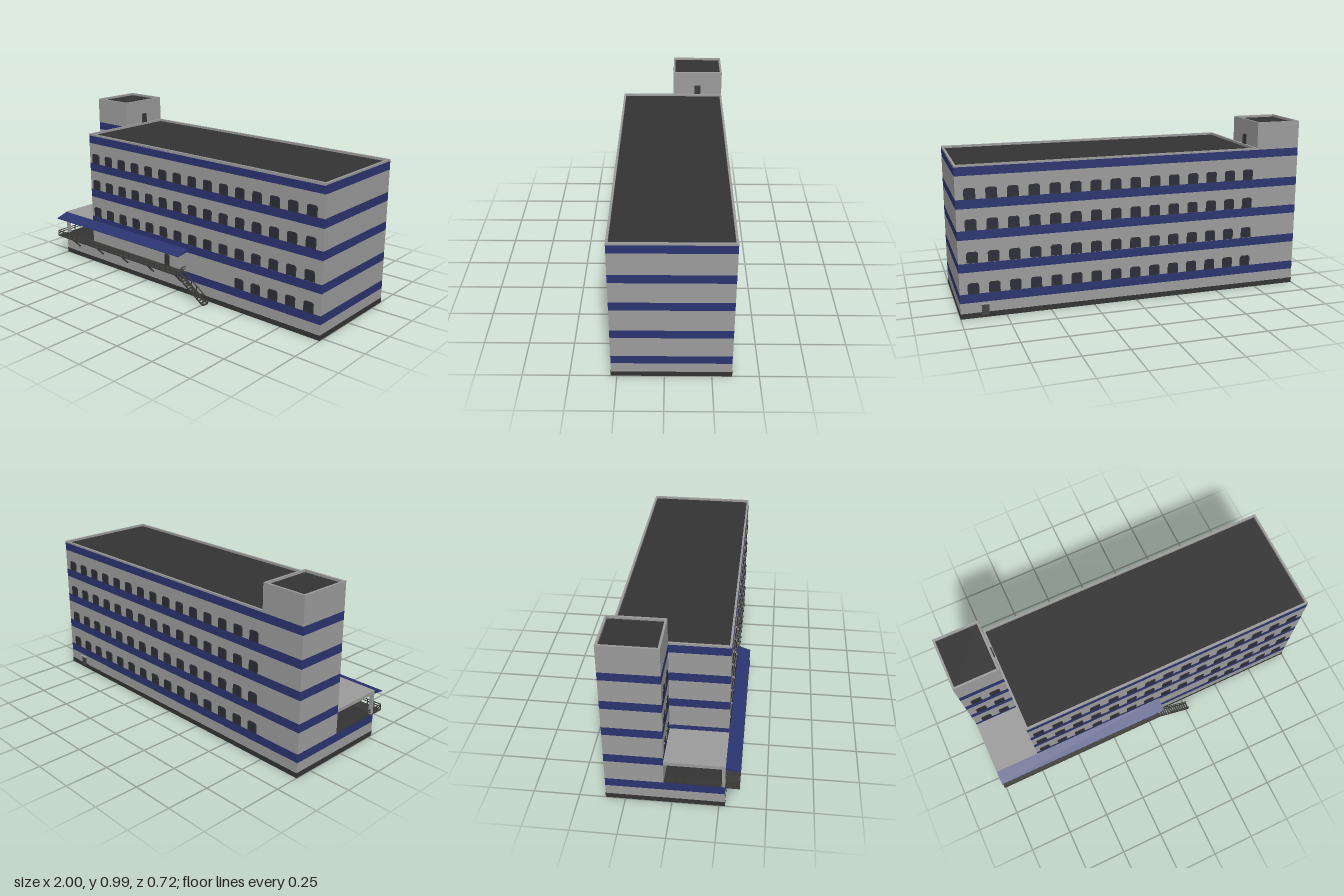
import * as THREE from 'three';

const material = (name, color, side = THREE.FrontSide) =>
  Object.assign(new THREE.MeshStandardMaterial({ color, side }), { name });

export function createModel() {
  const model = new THREE.Group();
  model.name = 'officeBuilding';

  const wallGray = material('wall gray', 0x9b9b9b, THREE.DoubleSide);
  const bandBlue = material('band blue', 0x2b3470, THREE.DoubleSide);
  const roofDark = material('roof dark', 0x333333, THREE.DoubleSide);
  const glass = material('window glass', 0x2c2c38);
  const steel = material('railing steel', 0x3a3a38);
  const doorGray = material('door gray', 0x454545);

  const add = (name, geometry, mat, parent = model) => {
    const mesh = new THREE.Mesh(geometry, mat);
    mesh.name = name;
    parent.add(mesh);
    return mesh;
  };
  const group = (name) => {
    const g = new THREE.Group();
    g.name = name;
    model.add(g);
    return g;
  };
  // Box given by its limits on each axis
  const box = (name, x0, x1, y0, y1, z0, z1, mat, parent) => {
    const mesh = add(name, new THREE.BoxGeometry(x1 - x0, y1 - y0, z1 - z0), mat, parent);
    mesh.position.set((x0 + x1) / 2, (y0 + y1) / 2, (z0 + z1) / 2);
    return mesh;
  };
  // Square bar between two points
  const bar = (name, a, b, t, mat, parent) => {
    const p = new THREE.Vector3(...a), q = new THREE.Vector3(...b);
    const mesh = add(name, new THREE.BoxGeometry(t, t, p.distanceTo(q)), mat, parent);
    mesh.position.copy(p).add(q).multiplyScalar(0.5);
    mesh.lookAt(q);
    return mesh;
  };
  // Open ring of upright walls around a footprint of [x, z] corners
  const walls = (name, outline, y0, y1, mat) => {
    const pos = [];
    outline.forEach(([ax, az], i) => {
      const [bx, bz] = outline[(i + 1) % outline.length];
      pos.push(ax, y0, az, bx, y0, bz, bx, y1, bz, ax, y0, az, bx, y1, bz, ax, y1, az);
    });
    const g = new THREE.BufferGeometry();
    g.setAttribute('position', new THREE.Float32BufferAttribute(pos, 3));
    g.computeVertexNormals();
    return add(name, g, mat);
  };
  const rect = (x0, x1, z0, z1) => [[x0, z1], [x1, z1], [x1, z0], [x0, z0]];

  const F = 0.28, B = -0.355, TX = -0.735, TZ = -0.043, TOP = 0.845;
  const full = rect(-1, 1, B, F);
  const upper = [[TX, F], [1, F], [1, B], [-1, B], [-1, TZ], [TX, TZ]];

  // Plinth and striped walls
  walls('plinth', rect(-1.0, 1.0, B - 0.002, F + 0.002), 0, 0.03, roofDark);
  walls('baseWall', full, 0.03, 0.088, wallGray);
  walls('baseBand', full, 0.088, 0.138, bandBlue);
  const bands = [[0.26, 0.31], [0.44, 0.49], [0.61, 0.66], [0.787, 0.834]];
  let y = 0.138;
  for (const [lo, hi] of bands) {
    walls('storeyWall', upper, y, lo, wallGray);
    walls('storeyBand', upper, lo, hi, bandBlue);
    y = hi;
  }
  walls('topWall', upper, y, TOP, wallGray);
  walls('towerTop', rect(-1, TX, B, TZ), TOP, 0.99, wallGray);

  // Recessed roofs inside a parapet rim
  const roof = (name, x0, x1, z0, z1, top) => {
    const t = 0.012;
    box(name, x0 + t, x1 - t, top - 0.016, top - 0.013, z0 + t, z1 - t, roofDark);
    const rim = group(name + 'Parapet');
    box('rimFront', x0, x1, top - 0.015, top, z1 - t, z1, wallGray, rim);
    box('rimBack', x0, x1, top - 0.015, top, z0, z0 + t, wallGray, rim);
    box('rimLeft', x1 - t, x1, top - 0.015, top, z0 + t, z1 - t, wallGray, rim);
    box('rimRight', x0, x0 + t, top - 0.015, top, z0 + t, z1 - t, wallGray, rim);
  };
  roof('mainRoof', TX, 1, B, F, TOP);
  roof('towerRoof', -1, TX, B, TZ, 0.992);

  // Windows with clipped upper corners, visible from both sides of the wall
  const pane = (w, h, c, depth) => {
    const s = new THREE.Shape();
    s.moveTo(-w / 2, 0);
    s.lineTo(w / 2, 0);
    s.lineTo(w / 2, h - c);
    s.lineTo(w / 2 - c, h);
    s.lineTo(-w / 2 + c, h);
    s.lineTo(-w / 2, h - c);
    return new THREE.ExtrudeGeometry(s, { depth, bevelEnabled: false }).translate(0, 0, -depth / 2);
  };
  const frameGeo = pane(0.062, 0.062, 0.009, 0.006);
  const glassGeo = pane(0.052, 0.054, 0.007, 0.009).translate(0, 0.004, 0);
  const windows = group('windows');
  const windowAt = (x, y0, z) => {
    add('windowFrame', frameGeo, roofDark, windows).position.set(x, y0, z);
    add('windowGlass', glassGeo, glass, windows).position.set(x, y0, z);
  };
  [0.138, 0.312, 0.491, 0.659].forEach((y0, floor) => {
    for (let i = 0; i < 15; i++) {
      const x = 0.925 - i * 0.1147;
      if (floor > 0 || i < 5) windowAt(x, y0, F);
      windowAt(x, y0, B);
    }
    if (floor > 0) [-0.925, -0.812].forEach((x) => windowAt(x, y0, TZ));
  });

  // Doors
  const doorGeo = pane(0.04, 0.072, 0.008, 0.008);
  const door = (name, x, y0, z, mat, turn = 0) => {
    const d = add(name, doorGeo, mat, model);
    d.position.set(x, y0, z);
    d.rotation.y = turn;
    return d;
  };
  door('frontDoor', -0.08, 0.138, F, roofDark);
  door('dockDoor', -0.86, 0.138, TZ, doorGray);
  door('dockSideDoor', TX, 0.138, 0.08, doorGray, Math.PI / 2);
  box('backDoor', 0.845, 0.885, 0.012, 0.075, B - 0.005, B + 0.004, doorGray);
  box('backDoorHood', 0.84, 0.89, 0.075, 0.079, B - 0.012, B, wallGray);

  // Slatted tower door
  const hatch = group('towerDoor');
  box('towerDoorPanel', TX, TX + 0.004, TOP - 0.01, 0.905, -0.218, -0.179, doorGray, hatch);
  for (let i = 0; i < 5; i++) {
    const z = -0.215 + i * 0.0083;
    box('doorSlat', TX, TX + 0.007, TOP - 0.01, 0.9, z - 0.0025, z + 0.0025, roofDark, hatch);
  }

  // Loading dock: floor, low roof and corner post
  box('dockFloor', -0.998, TX, 0.13, 0.138, TZ, F - 0.001, roofDark);
  box('dockRoof', -1, TX, 0.262, 0.282, TZ, F, wallGray);
  box('dockPost', -1, -0.982, 0.138, 0.262, F - 0.018, F, wallGray);

  // Sloping wedge canopy
  const wedge = new THREE.Shape();
  wedge.moveTo(-F, 0.261);
  wedge.lineTo(-F, 0.279);
  wedge.lineTo(-0.357, 0.254);
  wedge.lineTo(-0.357, 0.251);
  const canopy = new THREE.ExtrudeGeometry(wedge, { depth: 1.08, bevelEnabled: false });
  add('canopy', canopy.rotateY(Math.PI / 2).translate(-1, 0, 0), bandBlue);

  // Walkway with brackets and railings
  const walkway = group('walkway');
  const Z = 0.354, X1 = 0.065, R = 0.004;
  box('walkwayDeck', -1, X1, 0.132, 0.138, F, 0.356, steel, walkway);
  for (let i = 0; i < 5; i++) {
    const x = -0.872 + i * 0.2255;
    bar('bracket', [x, 0.068, F], [x, 0.134, 0.345], 0.008, steel, walkway);
  }
  for (const h of [0.155, 0.169]) {
    bar('frontRail', [-1, h, Z], [X1, h, Z], R, steel, walkway);
    bar('dockRail', [-0.998, h, TZ], [-0.998, h, Z], R, steel, walkway);
    bar('endRail', [X1, h, F], [X1, h, 0.313], R, steel, walkway);
  }
  for (let i = 0; i <= 24; i++) {
    const x = -0.998 + (i / 24) * (X1 + 0.998);
    bar('railPost', [x, 0.136, Z], [x, 0.17, Z], R, steel, walkway);
  }
  for (let i = 0; i < 8; i++) {
    const z = TZ + 0.01 + i * 0.05;
    bar('railPost', [-0.998, 0.136, z], [-0.998, 0.17, z], R, steel, walkway);
  }
  bar('railPost', [X1, 0.136, 0.313], [X1, 0.17, 0.313], R, steel, walkway);

  // Stair down along the front wall
  const stair = group('stair');
  for (const z of [0.315, Z]) {
    bar('stringer', [X1, 0.134, z], [0.265, 0.004, z], 0.006, steel, stair);
    bar('handrail', [X1, 0.168, z], [0.27, 0.033, z], R, steel, stair);
    for (let i = 0; i <= 5; i++) {
      const x = X1 + i * 0.04, h = 0.134 - i * 0.026;
      bar('handrailPost', [x, h, z], [x, h + 0.034, z], R, steel, stair);
    }
  }
  for (let i = 0; i < 13; i++) {
    const x = X1 + 0.01 + i * 0.0158, h = 0.127 - i * 0.0102;
    box('tread', x - 0.005, x + 0.005, h - 0.002, h + 0.002, 0.315, Z, steel, stair);
  }
  return model;
}
